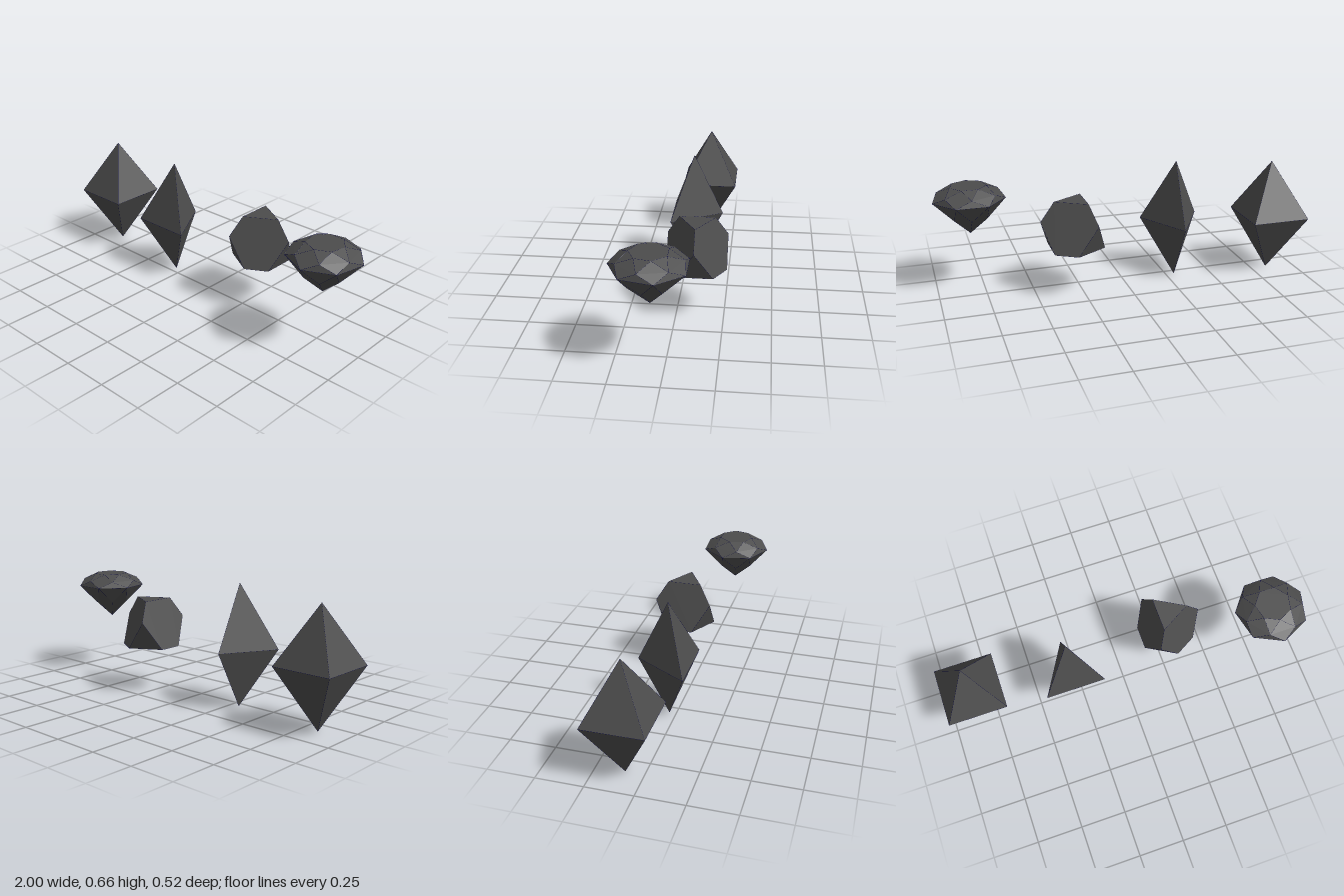
import * as THREE from 'three';
import { ConvexGeometry } from 'three/addons/geometries/ConvexGeometry.js';
import { mergeGeometries } from 'three/addons/utils/BufferGeometryUtils.js';

const stoneMaterial = new THREE.MeshStandardMaterial({ color: 0x4c4c4c, flatShading: true });
const edgeMaterial = new THREE.MeshStandardMaterial({ color: 0x0a0a40 });

const point = (x, y, z) => new THREE.Vector3(x, y, z);

// Ring of n points at height y; turn is the angle of the first point from +z towards +x
function ring(n, radius, y, turn = 0) {
  return Array.from({ length: n }, (_, i) => {
    const a = turn + (i / n) * Math.PI * 2;
    return point(Math.sin(a) * radius, y, Math.cos(a) * radius);
  });
}

// Hair-thin rods along every edge between two facets
function edgeRods(geometry) {
  const ends = new THREE.EdgesGeometry(geometry, 6).attributes.position;
  const rods = [];
  for (let i = 0; i < ends.count; i += 2) {
    const a = new THREE.Vector3().fromBufferAttribute(ends, i);
    const b = new THREE.Vector3().fromBufferAttribute(ends, i + 1);
    rods.push(new THREE.TubeGeometry(new THREE.LineCurve3(a, b), 1, 0.0007, 8));
  }
  return mergeGeometries(rods);
}

// Faceted stone spanned by its corner points, with its edges traced
function stone(name, points, x, y, z) {
  const group = new THREE.Group();
  group.name = name;
  group.position.set(x, y, z);
  const body = new THREE.Mesh(new ConvexGeometry(points), stoneMaterial);
  body.name = 'facets';
  const edges = new THREE.Mesh(edgeRods(body.geometry), edgeMaterial);
  edges.name = 'facetEdges';
  group.add(body, edges);
  return group;
}

export function createModel() {
  const model = new THREE.Group();
  model.name = 'gemstones';

  // Four-sided double pyramid
  model.add(stone('squareBipyramid', [
    ...ring(4, 0.16 * Math.SQRT2, 0.327, Math.PI / 4),
    point(0, 0.63, 0), point(0, 0.003, 0),
  ], -0.84, 0, -0.098));

  // Three-sided double pyramid, flat side to the front
  model.add(stone('triangularBipyramid', [
    point(-0.164, 0.313, 0.12), point(0.164, 0.313, 0.12), point(0, 0.313, -0.165),
    point(0, 0.658, 0), point(0, 0.001, 0),
  ], -0.298, 0, -0.038));

  // Tetrahedron with cut corners, resting on a hexagon
  const east = Math.PI / 2;
  const half = Math.atan2(0.094, 0.128); // half angle between the base corners of one cut
  model.add(stone('truncatedTetrahedron', [
    ...ring(3, 0.107, 0.515, east),
    ...ring(3, 0.181, 0.411, east),
    ...ring(3, 0.159, 0.257, east - half),
    ...ring(3, 0.159, 0.257, east + half),
  ], 0.287, 0, -0.102));

  // Seven-fold brilliant: table, crown, girdle, pavilion and culet
  const step = Math.PI / 7;
  model.add(stone('brilliantCut', [
    ...ring(7, 0.096, 0.591),
    ...ring(7, 0.163, 0.557, step),
    ...ring(7, 0.193, 0.523),
    ...ring(7, 0.108, 0.426, step),
    point(0, 0.33, 0),
  ], 0.81, 0, 0.067));

  return model;
}
